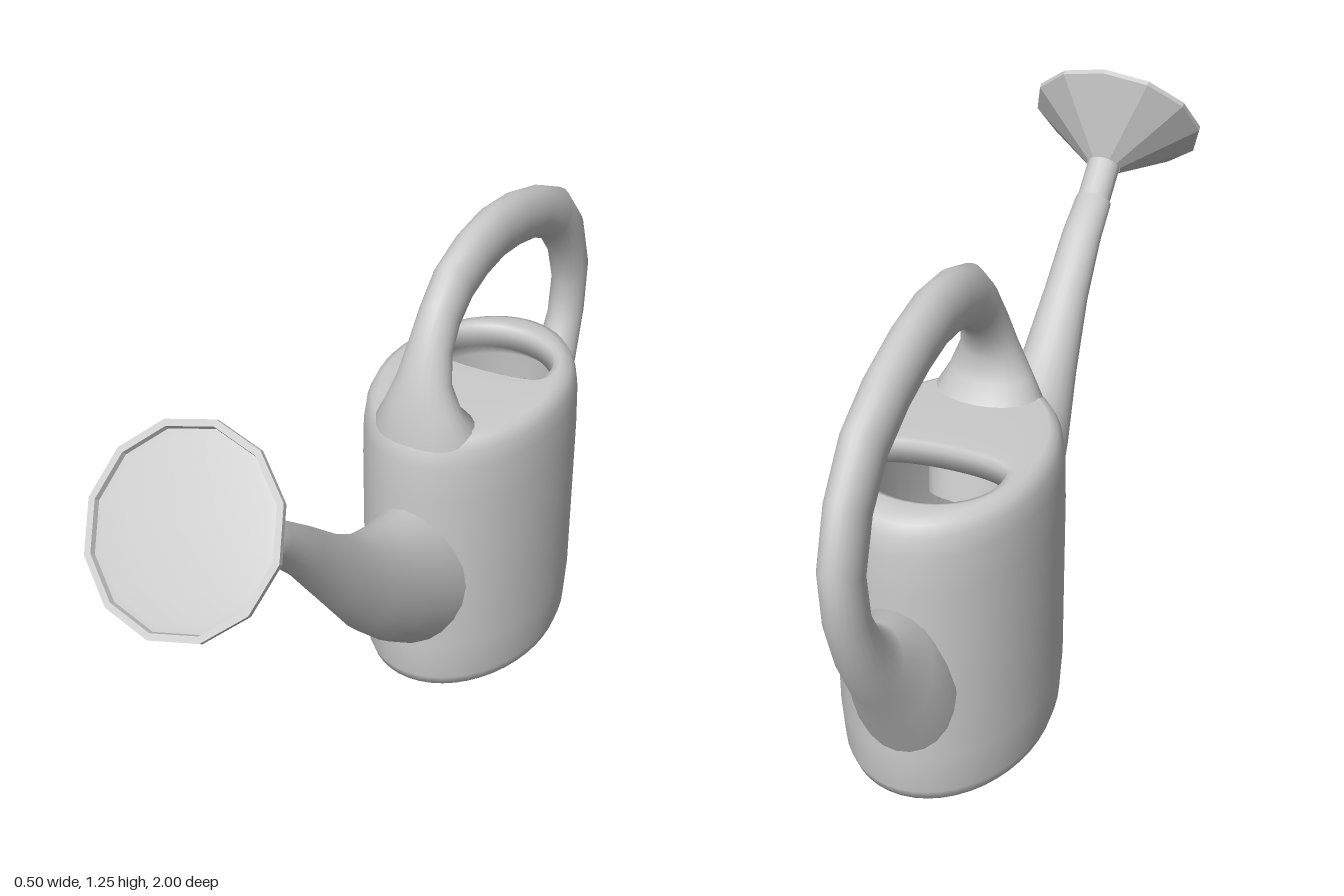
import * as THREE from 'three';

const grey = new THREE.MeshStandardMaterial({ color: 0xcccccc, side: THREE.DoubleSide });
const greyFlat = new THREE.MeshStandardMaterial({ color: 0xcccccc, flatShading: true, side: THREE.DoubleSide });

// Skin a list of closed rings, each an array of [x, y, z]
function skin(rings) {
  const n = rings[0].length, index = [];
  for (let i = 0; i < rings.length - 1; i++) {
    for (let j = 0; j < n; j++) {
      const a = i * n + j, b = i * n + (j + 1) % n;
      index.push(a, b, b + n, a, b + n, a + n);
    }
  }
  const geo = new THREE.BufferGeometry();
  geo.setAttribute('position', new THREE.Float32BufferAttribute(rings.flat(2), 3));
  geo.setIndex(index);
  geo.computeVertexNormals();
  return geo;
}

function ring(n, fn) {
  return Array.from({ length: n }, (_, j) => fn((j / n) * Math.PI * 2));
}

// Oval sections lying across the z-y plane: [zA, yA, zB, yB, halfWidth]
function ovalLoft(sections, n = 24) {
  const rings = sections.map(([za, ya, zb, yb, w]) => ring(n, (t) => {
    const c = Math.cos(t) / 2;
    return [w * Math.sin(t), (ya + yb) / 2 + (ya - yb) * c, (za + zb) / 2 + (za - zb) * c];
  }));
  return skin(rings);
}

function add(group, name, geo, mat = grey) {
  const mesh = new THREE.Mesh(geo, mat);
  mesh.name = name;
  group.add(mesh);
  return mesh;
}

export function createModel() {
  const group = new THREE.Group();
  group.name = 'wateringCan';

  // Oval tank that turns in through a D-shaped filling hole to a hollow inside
  const N = 48;
  const oval = (y, s) => ring(N, (t) => [0.25 * s * Math.sin(t), y, -0.37 + 0.35 * s * Math.cos(t)]);
  const hole = (y, s) => ring(N, (t) => {
    const c = Math.cos(t);
    return [0.16 * s * Math.sin(t), y, -0.47 + s * (c > 0 ? 0.075 * Math.sqrt(c) : 0.14 * c)];
  });
  const outer = [[0, 0], [0, 0.88], [0.01, 0.94], [0.04, 0.975], [0.15, 1], [0.4, 1], [0.6, 1],
    [0.7, 0.99], [0.745, 0.965], [0.77, 0.92], [0.78, 0.85]];
  add(group, 'tank', skin([
    ...outer.map(([y, s]) => oval(y, s)),
    hole(0.783, 1.14), hole(0.778, 1.04), hole(0.76, 1), hole(0.72, 1),
    oval(0.66, 0.9), oval(0.1, 0.9), oval(0.04, 0.85), oval(0.04, 0),
  ]));

  // Looped handle, wide where it grows out of the tank (outer edge, inner edge)
  add(group, 'handle', ovalLoft([
    [-0.06, 0.45, -0.28, 0.55, 0.13],
    [-0.02, 0.56, -0.26, 0.65, 0.14],
    [-0.025, 0.66, -0.24, 0.74, 0.145],
    [-0.035, 0.76, -0.21, 0.785, 0.13],
    [-0.045, 0.83, -0.175, 0.82, 0.1],
    [-0.065, 0.91, -0.165, 0.88, 0.07],
    [-0.1, 1.0, -0.19, 0.94, 0.055],
    [-0.15, 1.08, -0.23, 0.985, 0.05],
    [-0.22, 1.15, -0.29, 1.025, 0.05],
    [-0.33, 1.19, -0.37, 1.05, 0.05],
    [-0.45, 1.205, -0.46, 1.06, 0.05],
    [-0.58, 1.19, -0.56, 1.05, 0.05],
    [-0.72, 1.15, -0.67, 1.025, 0.05],
    [-0.85, 1.09, -0.77, 0.975, 0.048],
    [-0.95, 0.98, -0.84, 0.89, 0.046],
    [-1.0, 0.84, -0.88, 0.78, 0.046],
    [-0.985, 0.69, -0.87, 0.68, 0.048],
    [-0.93, 0.54, -0.83, 0.605, 0.055],
    [-0.86, 0.41, -0.77, 0.565, 0.068],
    [-0.78, 0.28, -0.69, 0.56, 0.1],
    [-0.73, 0.18, -0.6, 0.5, 0.13],
    [-0.68, 0.1, -0.55, 0.35, 0.12],
  ]));

  // Tapering spout (lower edge, upper edge)
  add(group, 'spout', ovalLoft([
    [-0.12, 0.1, -0.12, 0.56, 0.15],
    [0, 0.165, 0, 0.57, 0.125],
    [0.11, 0.25, 0.08, 0.585, 0.11],
    [0.22, 0.36, 0.17, 0.615, 0.095],
    [0.35, 0.53, 0.28, 0.685, 0.073],
    [0.48, 0.7, 0.41, 0.795, 0.057],
    [0.6, 0.825, 0.53, 0.89, 0.051],
    [0.69, 0.88, 0.63, 0.95, 0.047],
    [0.66, 0.915, 0.66, 0.915, 0],
  ]));

  // Sprinkler head on the tilted spout axis, origin at the centre of its rim
  const head = new THREE.Group();
  head.name = 'sprinklerHead';
  head.position.set(0, 1.075, 0.865);
  head.rotation.x = Math.atan2(0.79, 0.61);
  group.add(head);

  const lathe = (points, sides) => new THREE.LatheGeometry(points.map(([r, y]) => new THREE.Vector2(r, y)), sides);
  add(head, 'neck', lathe([[0.043, -0.27], [0.043, -0.14]], 16));
  add(head, 'cone', lathe([[0.046, -0.155], [0.226, -0.012], [0.226, 0], [0.211, 0], [0.208, -0.012]], 12), greyFlat);
  add(head, 'sprinklerPlate', lathe([[0.208, -0.012], [0.19, -0.008], [0.13, -0.003], [0.06, 0], [0, 0.001]], 12));

  return group;
}
